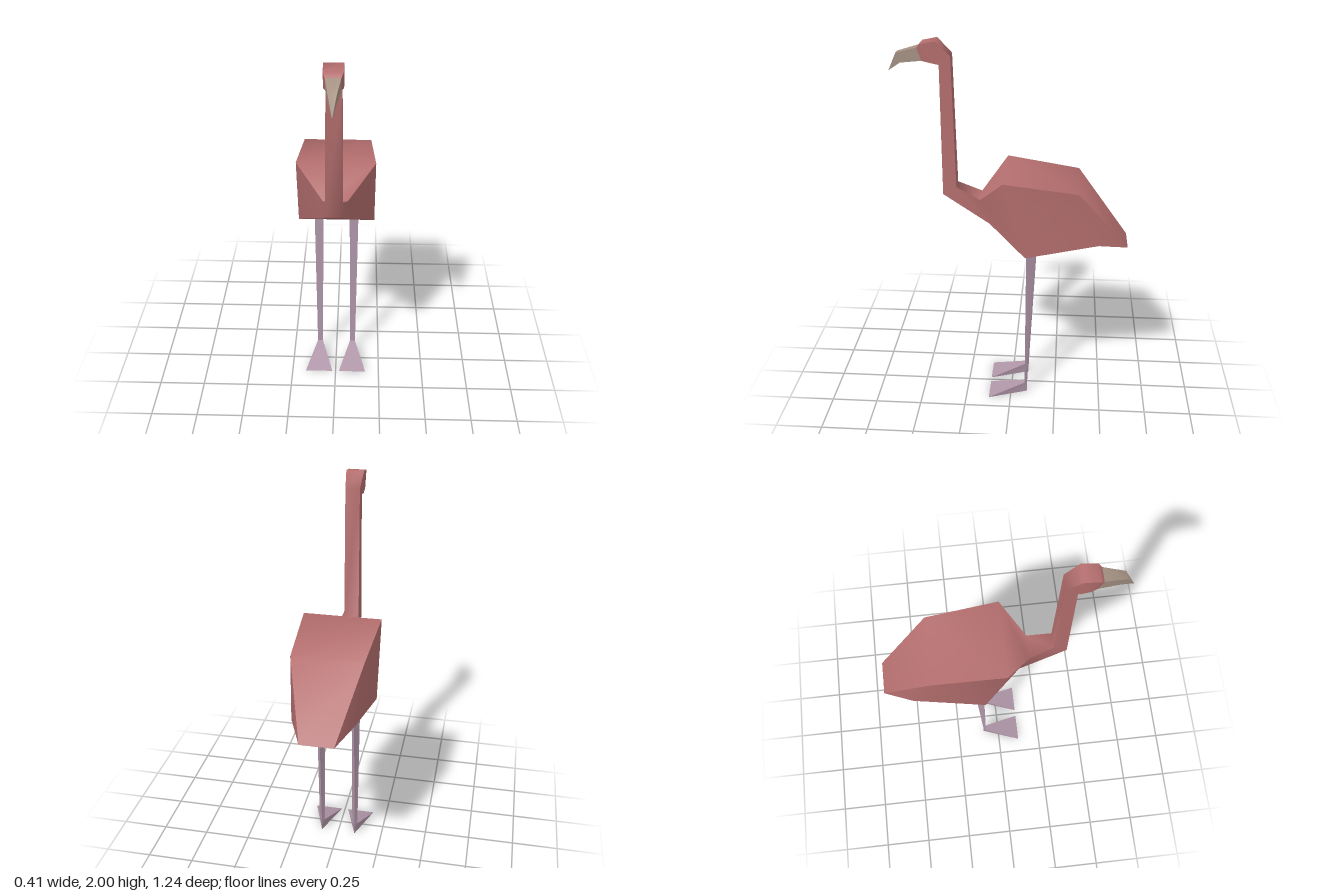
import * as THREE from 'three';

const plumage = new THREE.MeshStandardMaterial({ color: 0xb46e6e });
plumage.name = 'dusty pink plumage';
const horn = new THREE.MeshStandardMaterial({ color: 0xa69284 });
horn.name = 'grey brown beak';
const skin = new THREE.MeshStandardMaterial({ color: 0xb096a8 });
skin.name = 'mauve leg skin';

// Skins rings of points; each side is its own strip, smooth along its length and sharp at the corners
function loft(rings, closeStart = false) {
  const pos = [], index = [];
  const sides = rings[0].length;
  for (let s = 0; s < sides; s++) {
    const start = pos.length / 3;
    rings.forEach((ring, r) => {
      pos.push(...ring[s], ...ring[(s + 1) % sides]);
      if (r === 0) return;
      const a = start + (r - 1) * 2, b = a + 2;
      index.push(a, a + 1, b + 1, a, b + 1, b);
    });
  }
  if (closeStart) {
    const start = pos.length / 3;
    rings[0].forEach((p) => pos.push(...p));
    for (let i = 1; i < sides - 1; i++) index.push(start, start + i + 1, start + i);
  }
  const geo = new THREE.BufferGeometry();
  geo.setAttribute('position', new THREE.Float32BufferAttribute(pos, 3));
  geo.setIndex(index);
  geo.computeVertexNormals();
  return geo;
}

// Four-cornered cross-section: upper edge, lower edge and half width of each
const section = ([topY, topZ, topW, lowY, lowZ, lowW]) => [
  [topW, topY, topZ], [-topW, topY, topZ], [-lowW, lowY, lowZ], [lowW, lowY, lowZ],
];

// Three-cornered cross-section of a leg: flat front, ridge at the back
const wedge = (y, frontZ, backZ, w) => [[-w, y, frontZ], [w, y, frontZ], [0, y, backZ]];

function addMesh(parent, name, geometry, material) {
  const mesh = new THREE.Mesh(geometry, material);
  mesh.name = name;
  parent.add(mesh);
  return mesh;
}

export function createModel() {
  const bird = new THREE.Group();
  bird.name = 'wadingBird';

  // Body, neck and head as one skin, from tail to brow
  const bodySections = [
    [0.935, -0.615, 0.087, 0.935, -0.615, 0.087], // tail edge
    [1.27, -0.35, 0.185, 0.975, -0.46, 0.16],     // rump
    [1.325, 0.035, 0.207, 0.915, -0.08, 0.207],   // shoulders and belly
    [1.175, 0.165, 0.065, 1.04, 0.115, 0.065],    // breast
    [1.235, 0.29, 0.04, 1.195, 0.36, 0.045],      // foot of the neck
    [1.925, 0.302, 0.038, 1.88, 0.36, 0.038],     // top of the neck
    [2.0, 0.375, 0.047, 1.885, 0.365, 0.047],     // crown
    [1.985, 0.45, 0.046, 1.895, 0.415, 0.046],    // brow
    [1.965, 0.468, 0.036, 1.9, 0.445, 0.036],     // beak root
  ];
  addMesh(bird, 'bodyNeckAndHead', loft(bodySections.map(section)), plumage);

  // Hooked beak
  const beakSections = [
    [1.965, 0.468, 0.036, 1.9, 0.445, 0.036],
    [1.935, 0.575, 0.02, 1.885, 0.555, 0.02],
    [1.84, 0.62, 0, 1.84, 0.62, 0],
  ];
  addMesh(bird, 'beak', loft(beakSections.map(section)), horn);

  // Legs and feet
  for (const side of [1, -1]) {
    const leg = new THREE.Group();
    leg.name = side > 0 ? 'leftLeg' : 'rightLeg';
    leg.position.x = side * 0.096;
    const ankle = wedge(0.065, -0.078, -0.092, 0.015);
    addMesh(leg, 'shank', loft([ankle, wedge(0.935, -0.082, -0.136, 0.024)]), skin);
    addMesh(leg, 'foot', loft([wedge(0, 0.122, -0.092, 0.077), ankle], true), skin);
    bird.add(leg);
  }
  return bird;
}
